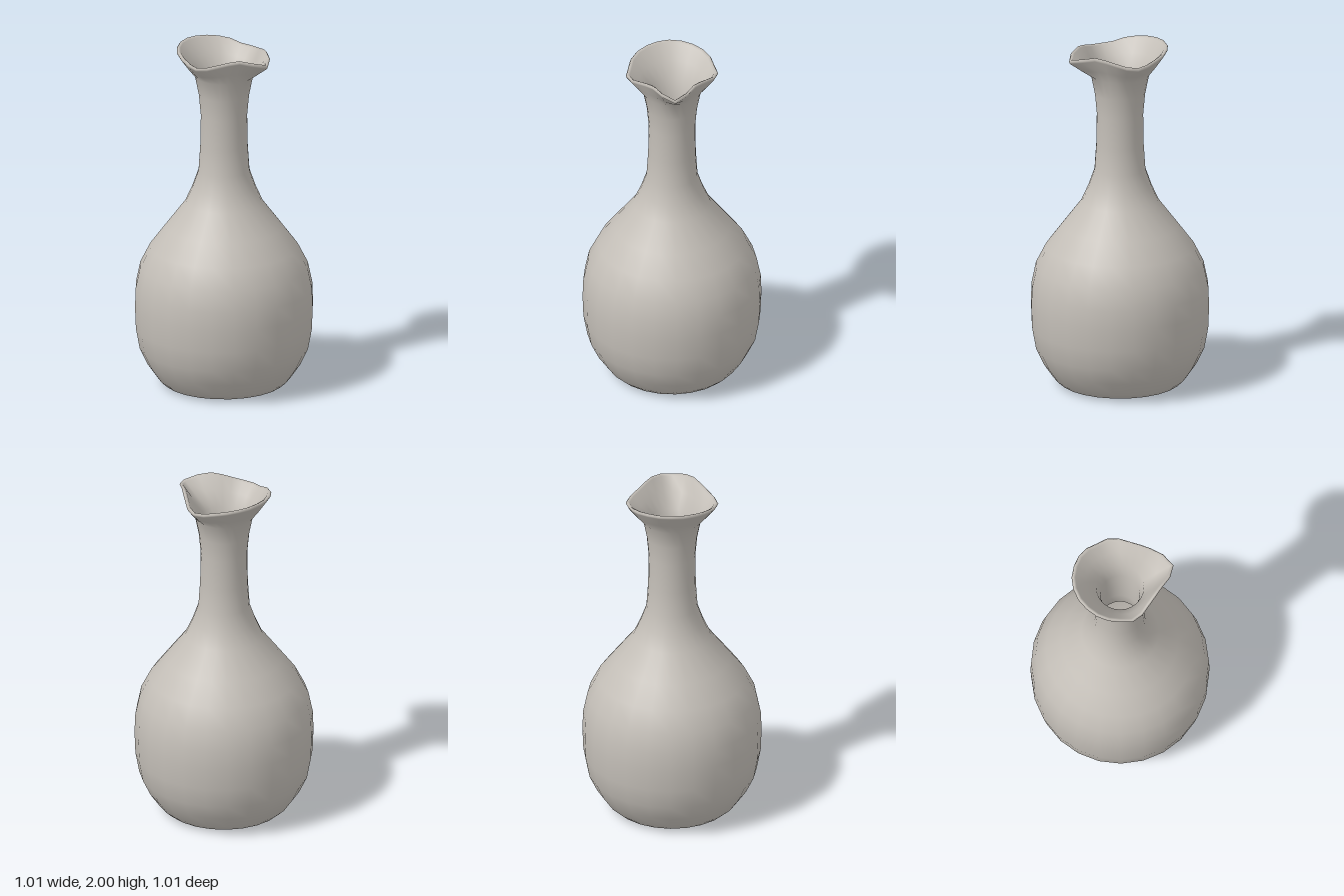
import * as THREE from 'three';
import { mergeVertices } from 'three/addons/utils/BufferGeometryUtils.js';

// Rim radius and height every 15 degrees, from the spout (+z) round to the back
const RIM_RADIUS = [0.315, 0.283, 0.246, 0.231, 0.231, 0.248, 0.262, 0.255, 0.263, 0.268, 0.27, 0.274, 0.275];
const RIM_HEIGHT = [1.955, 1.975, 1.99, 1.98, 1.965, 1.95, 1.943, 1.95, 1.97, 1.983, 1.992, 1.997, 2.0];
const SIDES = 24;

// Profile points: radius, height, pull towards the rim outline (0..1), rim offset in r and y
const OUTSIDE = [
  [0, 0], [0.29, 0], [0.345, 0.013], [0.38, 0.045], [0.435, 0.125], [0.48, 0.22], [0.502, 0.34],
  [0.507, 0.47], [0.503, 0.58], [0.478, 0.7], [0.42, 0.815], [0.33, 0.935], [0.22, 1.08],
  [0.18, 1.17], [0.145, 1.27], [0.135, 1.42], [0.132, 1.6], [0.143, 1.72], [0.165, 1.83],
];
const LIP = [
  [0.165, 1.83, 0.48, 0, -0.02],
  [0, 0, 1, -0.006, -0.022],
  [0, 0, 1, 0, -0.01],
  [0, 0, 1, -0.008, 0],
  [0, 0, 1, -0.022, -0.008],
  [0.14, 1.84, 0.45, -0.01, -0.01],
];
const INSIDE = [
  [0.135, 1.82], [0.112, 1.7], [0.104, 1.55], [0.104, 1.4], [0.114, 1.27], [0.19, 1.07],
  [0.3, 0.92], [0.39, 0.8], [0.45, 0.69], [0.477, 0.47], [0.45, 0.23], [0.4, 0.13], [0.32, 0.04], [0, 0.04],
];

function makeVaseGeometry() {
  const profile = [...OUTSIDE, ...LIP, ...INSIDE];
  const lathe = new THREE.LatheGeometry(profile.map(([r, y]) => new THREE.Vector2(r, y)), SIDES);
  const pos = lathe.attributes.position;

  // Pull the turned mouth out to the pinched, wavy rim
  for (let i = 0; i <= SIDES; i++) {
    const step = i % SIDES;
    const k = Math.min(step, SIDES - step);
    const angle = (step / SIDES) * Math.PI * 2;
    profile.forEach(([r, y, pull = 0, dr = 0, dy = 0], j) => {
      const radius = THREE.MathUtils.lerp(r, RIM_RADIUS[k] + dr, pull);
      const height = THREE.MathUtils.lerp(y, RIM_HEIGHT[k] + dy, pull);
      pos.setXYZ(i * profile.length + j, radius * Math.sin(angle), height, radius * Math.cos(angle));
    });
  }

  // Weld the seam so the shading stays smooth all round
  lathe.deleteAttribute('uv');
  lathe.deleteAttribute('normal');
  const welded = mergeVertices(lathe, 1e-5);
  welded.computeVertexNormals();
  return welded;
}

export function createModel() {
  const clay = new THREE.MeshStandardMaterial({ color: 0xc4bfb8 });
  clay.name = 'warm grey clay';

  const model = new THREE.Group();
  model.name = 'vase';

  const body = new THREE.Mesh(makeVaseGeometry(), clay);
  body.name = 'vaseBody';
  model.add(body);
  return model;
}
